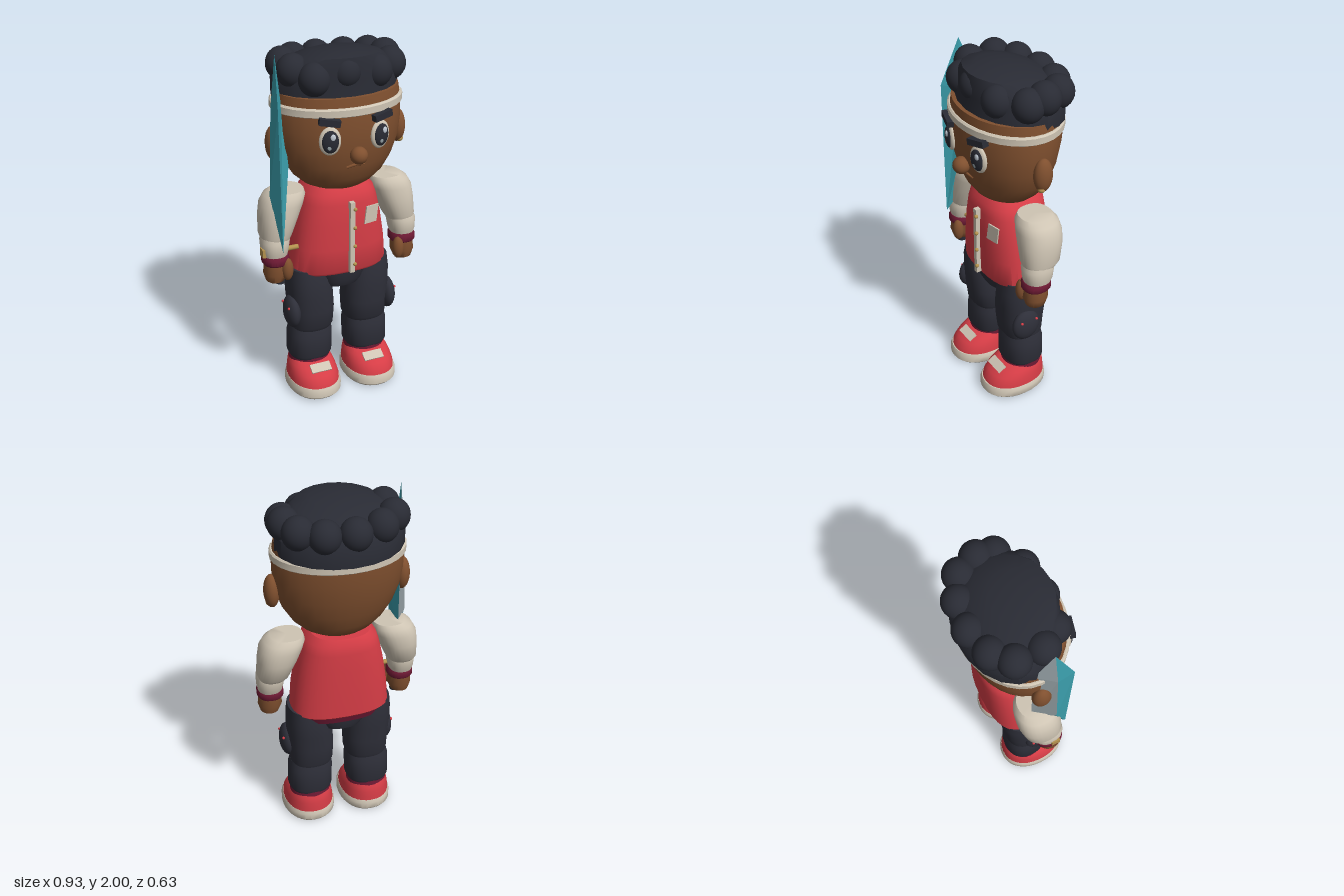
import * as THREE from 'three';
import { toCreasedNormals } from 'three/addons/utils/BufferGeometryUtils.js';

const mat = (name, color) => {
  const m = new THREE.MeshStandardMaterial({ color });
  m.name = name;
  return m;
};

// Stack of rounded rings, each [y, halfWidth, zFront, zBack, centreX]; tilt lifts the front edge
function loft(rings, { n = 32, power = 2, tilt = 0, crease = 0.7 } = {}) {
  const pos = [], idx = [];
  const curve = (v) => Math.sign(v) * Math.abs(v) ** (2 / power);
  for (const [y, rx, zf, zb, cx = 0] of rings) {
    for (let i = 0; i < n; i++) {
      const a = (i / n) * Math.PI * 2;
      const z = (zf + zb) / 2 + ((zf - zb) / 2) * curve(Math.sin(a));
      pos.push(cx + rx * curve(Math.cos(a)), y + z * tilt, z);
    }
  }
  const last = rings.length - 1;
  for (let j = 0; j < last; j++) {
    for (let i = 0; i < n; i++) {
      const a = j * n + i, b = j * n + ((i + 1) % n);
      idx.push(a, a + n, b, b, a + n, b + n);
    }
  }
  // end caps
  for (const j of [0, last]) {
    const [y, , zf, zb, cx = 0] = rings[j];
    const c = pos.length / 3;
    pos.push(cx, y + ((zf + zb) / 2) * tilt, (zf + zb) / 2);
    for (let i = 0; i < n; i++) {
      const a = j * n + i, b = j * n + ((i + 1) % n);
      if (j === 0) idx.push(c, a, b);
      else idx.push(c, b, a);
    }
  }
  const g = new THREE.BufferGeometry();
  g.setAttribute('position', new THREE.Float32BufferAttribute(pos, 3));
  g.setIndex(idx);
  return toCreasedNormals(g, crease);
}

export function createModel() {
  const root = new THREE.Group();
  root.name = 'figure';
  const skin = mat('skin', 0x80502f), hair = mat('hair', 0x292b34), denim = mat('denim', 0x2e2f39);
  const red = mat('red', 0xd63d46), cream = mat('cream', 0xcfc5b4), maroon = mat('maroon', 0x6e1a34);
  const gold = mat('gold', 0xb4924f), teal = mat('teal', 0x3a9dab), steel = mat('steel', 0x939fa3);
  const shine = mat('shine', 0xc3ccd6);

  const add = (name, geo, m, x = 0, y = 0, z = 0) => {
    const mesh = new THREE.Mesh(geo, m);
    mesh.name = name;
    mesh.position.set(x, y, z);
    root.add(mesh);
    return mesh;
  };
  const ball = (name, m, p, r) => {
    const mesh = add(name, new THREE.SphereGeometry(1, 24, 16), m, ...p);
    mesh.scale.set(...r);
    return mesh;
  };
  const box = (name, m, p, s) => add(name, new THREE.BoxGeometry(...s), m, ...p);

  // head and headband
  add('head', loft([
    [1.245, 0.15, 0.13, -0.13], [1.27, 0.2, 0.16, -0.155], [1.32, 0.255, 0.195, -0.185],
    [1.4, 0.305, 0.225, -0.22], [1.5, 0.34, 0.248, -0.25], [1.6, 0.353, 0.256, -0.27],
    [1.7, 0.355, 0.255, -0.28], [1.785, 0.342, 0.245, -0.28]]), skin);
  add('headband', loft([
    [1.69, 0.358, 0.258, -0.283], [1.695, 0.364, 0.266, -0.289],
    [1.73, 0.364, 0.266, -0.289], [1.738, 0.356, 0.257, -0.282]]), cream);

  // hair cap with a ring of curls
  add('hairCap', loft([
    [1.755, 0.345, 0.225, -0.295], [1.85, 0.345, 0.215, -0.295], [1.92, 0.295, 0.215, -0.255],
    [1.965, 0.225, 0.205, -0.19], [1.988, 0.14, 0.14, -0.11], [1.997, 0.05, 0.06, -0.03]],
  { tilt: 0.09, n: 20 }), hair).position.y = -0.003;
  const curls = [[-0.265, -0.11, 1.9], [-0.175, -0.195, 1.89], [-0.025, -0.235, 1.88], [0.13, -0.22, 1.88],
    [0.25, -0.16, 1.89], [0.295, -0.05, 1.9], [0.285, 0.04, 1.88], [0.16, 0.135, 1.88],
    [-0.02, 0.15, 1.9], [-0.18, 0.135, 1.87], [-0.262, 0.04, 1.9]];
  for (const [x, z, y] of curls) ball('curl', hair, [x, y, z], [0.086, 0.09, 0.086]);

  // nose and mouth
  ball('nose', skin, [0.01, 1.48, 0.265], [0.047, 0.047, 0.047]);
  const lip = new THREE.CatmullRomCurve3([[-0.04, 1.405, 0.222], [0.01, 1.418, 0.232], [0.06, 1.41, 0.22]]
    .map((p) => new THREE.Vector3(...p)));
  add('mouth', new THREE.TubeGeometry(lip, 10, 0.008, 8), skin);

  // jacket body, hem, front band and chest patch
  add('jacketBody', loft([
    [0.745, 0.268, 0.155, -0.18], [0.76, 0.28, 0.165, -0.195], [0.9, 0.268, 0.17, -0.2], [1.05, 0.243, 0.17, -0.2],
    [1.16, 0.218, 0.165, -0.2], [1.215, 0.2, 0.155, -0.195], [1.25, 0.165, 0.13, -0.175]], { power: 2.6 }), red);
  add('jacketHem', loft([[0.705, 0.235, 0.1, -0.165], [0.75, 0.26, 0.13, -0.18]], { power: 2.6 }), maroon);
  box('frontBand', cream, [0.012, 0.97, 0.178], [0.027, 0.42, 0.03]);
  for (let i = 0; i < 4; i++) ball('button', gold, [0.026, 0.81 + i * 0.11, 0.192], [0.011, 0.011, 0.011]);
  const patch = new THREE.Shape([[-0.045, -0.05], [0.035, -0.05], [0.048, 0.05], [-0.03, 0.05]]
    .map((p) => new THREE.Vector2(...p)));
  const patchMesh = add('chestPatch', new THREE.ExtrudeGeometry(patch, { depth: 0.008, bevelEnabled: false }),
    cream, 0.135, 1.08, 0.152);
  patchMesh.rotation.y = 0.2;

  // pelvis
  add('pelvis', loft([[0.64, 0.12, 0.11, -0.14], [0.68, 0.15, 0.13, -0.155], [0.76, 0.2, 0.14, -0.165]],
    { power: 2.6 }), denim);

  for (const s of [1, -1]) {
    const side = (rings) => rings.map(([y, rx, f, b, x]) => [y, rx, f, b, x * s]);

    // eye, brow and ear
    const eye = new THREE.Group();
    eye.name = 'eye';
    eye.position.set(0.14 * s, 1.57, 0.238);
    eye.rotation.y = 0.22 * s;
    eye.add(
      ball('eyeWhite', cream, [0, 0, 0], [0.058, 0.077, 0.022]),
      ball('pupil', hair, [0, 0, 0.01], [0.045, 0.062, 0.02]),
      ball('eyeShine', shine, [0.012, 0.027, 0.026], [0.014, 0.018, 0.006]),
      ball('eyeShineLow', steel, [-0.006, -0.025, 0.025], [0.012, 0.016, 0.004]));
    root.add(eye);
    const brow = box('brow', hair, [0.145 * s, 1.675, 0.245], [0.11, 0.035, 0.045]);
    brow.rotation.set(0, 0.25 * s, 0.16 * s);
    ball('ear', skin, [0.36 * s, 1.51, -0.005], [0.043, 0.095, 0.053]);

    // sleeve, cuff and hand
    add('upperSleeve', loft(side([
      [0.97, 0.075, 0.105, -0.07, 0.375], [1.0, 0.088, 0.115, -0.1, 0.37], [1.1, 0.108, 0.115, -0.125, 0.345],
      [1.17, 0.118, 0.11, -0.128, 0.325], [1.215, 0.112, 0.1, -0.12, 0.305], [1.24, 0.09, 0.08, -0.1, 0.29]]),
    { power: 2.3 }), cream);
    add('lowerSleeve', loft(side([
      [0.875, 0.065, 0.105, -0.035, 0.385], [0.91, 0.073, 0.115, -0.05, 0.384], [0.97, 0.08, 0.118, -0.06, 0.38],
      [1.01, 0.07, 0.1, -0.05, 0.375]]), { power: 2.3 }), cream);
    add('cuff', loft(side([
      [0.835, 0.067, 0.112, -0.033, 0.383], [0.845, 0.074, 0.12, -0.04, 0.383],
      [0.875, 0.074, 0.12, -0.04, 0.383], [0.888, 0.067, 0.112, -0.033, 0.383]]), { power: 2.3 }), maroon);
    add('hand', loft(side([
      [0.72, 0.03, 0.075, 0.02, 0.39], [0.735, 0.052, 0.1, -0.01, 0.388], [0.78, 0.068, 0.115, -0.025, 0.385],
      [0.845, 0.062, 0.108, -0.025, 0.383]])), skin);
    ball('thumb', skin, [0.335 * s, 0.81, 0.1], [0.033, 0.067, 0.033]);

    // trouser leg and knee pad
    add('upperLeg', loft(side([
      [0.37, 0.115, 0.1, -0.11, 0.168], [0.4, 0.125, 0.118, -0.122, 0.165], [0.5, 0.13, 0.13, -0.13, 0.165],
      [0.6, 0.13, 0.135, -0.14, 0.172], [0.7, 0.122, 0.135, -0.148, 0.18], [0.77, 0.11, 0.12, -0.14, 0.185]]),
    { power: 2.4 }), denim);
    add('lowerLeg', loft(side([
      [0.19, 0.118, 0.105, -0.118, 0.175], [0.21, 0.127, 0.115, -0.125, 0.175], [0.34, 0.128, 0.112, -0.122, 0.172],
      [0.39, 0.118, 0.1, -0.11, 0.17]]), { power: 2.4 }), denim);
    ball('kneePad', denim, [0.293 * s, 0.505, 0.04], [0.045, 0.097, 0.085]);
    for (const z of [0.085, -0.01]) ball('kneeStud', red, [0.326 * s, 0.548, z], [0.008, 0.008, 0.008]);

    // sock, shoe, laces and sole
    add('sock', loft(side([[0.16, 0.12, 0.11, -0.125, 0.175], [0.198, 0.12, 0.108, -0.12, 0.175]])), maroon);
    add('shoe', loft(side([
      [0.05, 0.145, 0.235, -0.14, 0.175], [0.09, 0.142, 0.228, -0.138, 0.175], [0.125, 0.135, 0.2, -0.135, 0.175],
      [0.155, 0.126, 0.16, -0.13, 0.175], [0.177, 0.112, 0.115, -0.12, 0.175]]), { power: 2.2 }), red);
    add('sole', loft(side([
      [0, 0.142, 0.232, -0.135, 0.175], [0.015, 0.153, 0.247, -0.147, 0.175],
      [0.05, 0.153, 0.247, -0.147, 0.175], [0.068, 0.145, 0.238, -0.14, 0.175]]), { power: 2.2 }), cream);
    const laces = box('laces', cream, [0.165 * s, 0.159, 0.152], [0.12, 0.009, 0.055]);
    laces.rotation.x = 0.52;
  }

  // earring on the left ear
  ball('earring', gold, [0.37, 1.437, 0.01], [0.02, 0.02, 0.02]);

  // blade: diamond section with corners back, inner, front, outer
  const tip = [-0.36, 2, 0.05];
  const high = [[-0.335, 1.77, -0.045], [-0.335, 1.72, 0.065], [-0.385, 1.74, 0.152], [-0.392, 1.72, 0.06]];
  const low = [[-0.335, 1.2, -0.045], [-0.305, 1.4, 0.07], [-0.375, 0.94, 0.15], [-0.412, 1.24, 0.065]];
  const pts = [], blade = new THREE.BufferGeometry();
  for (let i = 0; i < 4; i++) {
    const k = (i + 1) % 4;
    pts.push(low[i], high[i], low[k], low[k], high[i], high[k], high[i], tip, high[k]);
    blade.addGroup(i * 9, 9, i === 3 ? 1 : 0);
  }
  pts.push(low[0], low[1], low[2], low[0], low[2], low[3]);
  blade.addGroup(36, 6, 0);
  blade.setAttribute('position', new THREE.Float32BufferAttribute(pts.flat(), 3));
  blade.computeVertexNormals();
  add('blade', blade, [teal, steel]);

  // guard and grip
  const rod = add('guard', new THREE.CylinderGeometry(0.014, 0.014, 0.2, 12), gold, -0.355, 0.912, 0.055);
  rod.rotation.z = Math.PI / 2;
  box('guardEnd', gold, [-0.445, 0.912, 0.052], [0.04, 0.048, 0.048]);
  add('grip', new THREE.CylinderGeometry(0.028, 0.028, 0.22, 12), hair, -0.365, 0.825, 0.06);
  return root;
}
